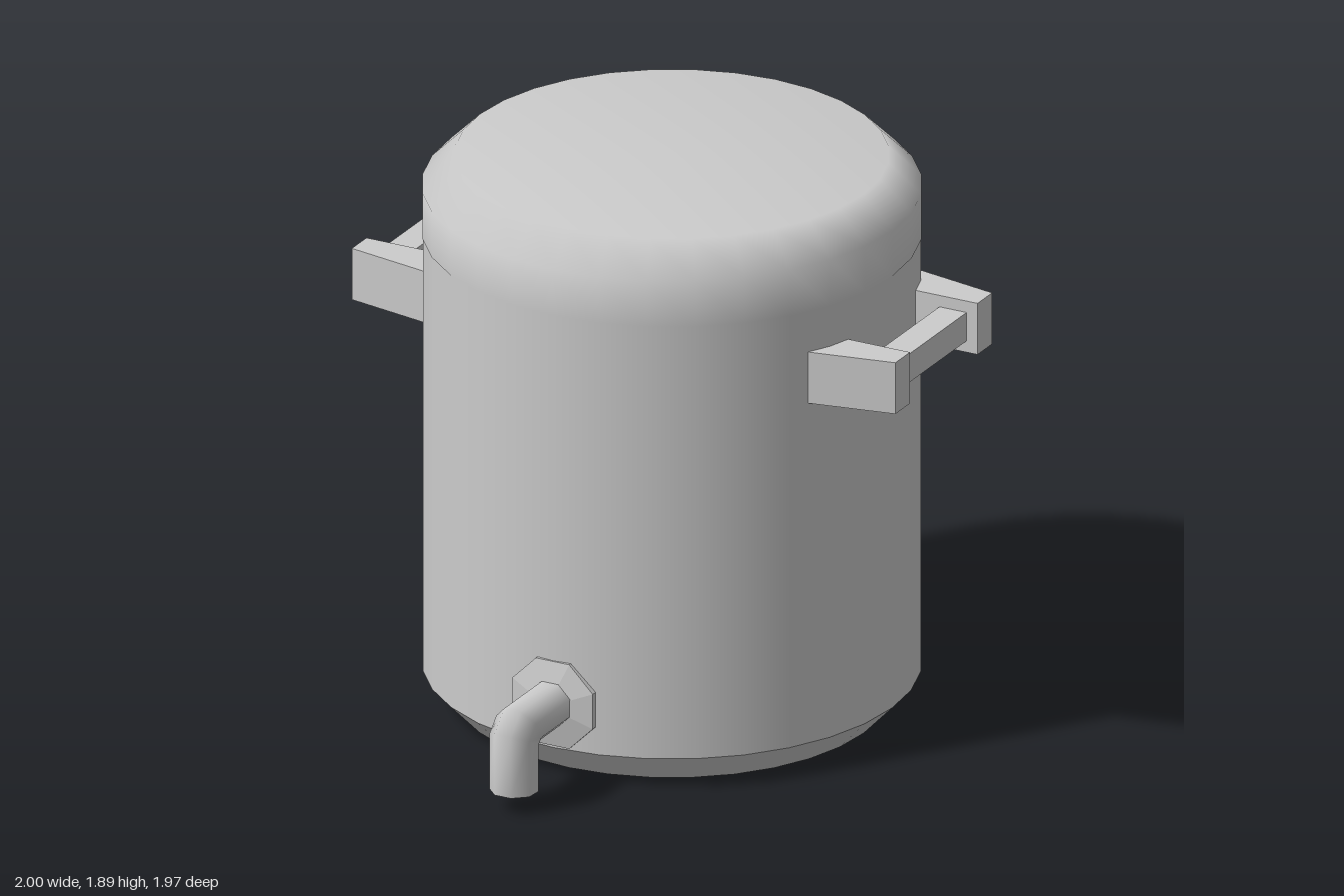
import * as THREE from 'three';

const AXIS_Z = -0.17; // centre of the tank
const RADIUS = 0.81;

const smooth = new THREE.MeshStandardMaterial({ color: 0xcccccc });
const flat = new THREE.MeshStandardMaterial({ color: 0xcccccc, flatShading: true });

function add(parent, name, geometry, material = smooth) {
  const mesh = new THREE.Mesh(geometry, material);
  mesh.name = name;
  parent.add(mesh);
  return mesh;
}

// Surface of revolution from [radius, height] pairs
const lathe = (points, sides, start = 0) =>
  new THREE.LatheGeometry(points.map(([r, y]) => new THREE.Vector2(r, y)), sides, start);

// Eight-sided bent pipe; each ring is [inner z, inner y, outer z, outer y]
function pipeGeometry(rings, halfWidth) {
  const sides = 8, positions = [], index = [];
  const grow = 1 / Math.cos(Math.PI / sides);
  const addRing = ([iz, iy, oz, oy]) => {
    for (let j = 0; j < sides; j++) {
      const a = ((j + 0.5) / sides) * Math.PI * 2;
      const t = 0.5 + 0.5 * Math.cos(a) * grow;
      positions.push(Math.sin(a) * halfWidth * grow, iy + (oy - iy) * t, iz + (oz - iz) * t);
    }
  };
  rings.forEach(addRing);
  for (let i = 0; i < rings.length - 1; i++) {
    for (let j = 0; j < sides; j++) {
      const a = i * sides + j, b = i * sides + ((j + 1) % sides);
      index.push(a, a + sides, b, b, a + sides, b + sides);
    }
  }
  // Outlet cap with its own vertices, so its rim stays sharp
  const cap = positions.length / 3;
  addRing(rings[rings.length - 1]);
  for (let j = 1; j < sides - 1; j++) index.push(cap, cap + j + 1, cap + j);
  const geometry = new THREE.BufferGeometry();
  geometry.setAttribute('position', new THREE.Float32BufferAttribute(positions, 3));
  geometry.setIndex(index);
  geometry.computeVertexNormals();
  return geometry;
}

// Tapered bracket, seen from above; side is +1 or -1 along x, end along z
function bracketGeometry(side, end) {
  const outline = [[0.66, 0.23], [1, 0.23], [1, 0.33], [0.66, 0.395]];
  const shape = new THREE.Shape(outline.map(([x, z]) => new THREE.Vector2(x * side, -z * end)));
  const geometry = new THREE.ExtrudeGeometry(shape, { depth: 0.18, bevelEnabled: false });
  return geometry.rotateX(-Math.PI / 2).translate(0, 1.305, 0);
}

export function createModel() {
  const model = new THREE.Group();
  model.name = 'tankWithTap';

  // Tank: base disc, chamfer, wall and soft-shaded lid
  const tank = new THREE.Group();
  tank.name = 'tank';
  tank.position.z = AXIS_Z;
  model.add(tank);
  add(tank, 'base', lathe([[0, 0], [0.705, 0]], 32));
  add(tank, 'baseChamfer', lathe([[0.705, 0], [RADIUS, 0.11]], 32));
  add(tank, 'wall', lathe([[RADIUS, 0.11], [RADIUS, 1.635]], 32));
  add(tank, 'lid', lathe([[RADIUS + 0.002, 1.63], [RADIUS + 0.002, 1.79], [0.705, 1.895], [0, 1.895]], 32));

  // Handles: two brackets and a square bar on each side
  for (const side of [1, -1]) {
    const handle = new THREE.Group();
    handle.name = side > 0 ? 'leftHandle' : 'rightHandle';
    tank.add(handle);
    for (const end of [1, -1]) {
      add(handle, end > 0 ? 'frontBracket' : 'backBracket', bracketGeometry(side, end), flat);
    }
    const bar = add(handle, 'handleBar', new THREE.BoxGeometry(0.1, 0.1, 0.47), flat);
    bar.position.set(0.91 * side, 1.395, 0);
  }

  // Tap: octagonal flange and bent spout
  const tap = new THREE.Group();
  tap.name = 'tap';
  model.add(tap);
  const flange = add(tap, 'flange',
    lathe([[0.16, 0.58], [0.16, 0.645], [0.075, 0.664], [0, 0.664]], 8, Math.PI / 8).rotateX(Math.PI / 2), flat);
  flange.position.y = 0.267;
  add(tap, 'spout', pipeGeometry([
    [0.6, 0.197, 0.6, 0.345],
    [0.83, 0.197, 0.92, 0.345],
    [0.83, 0.197, 0.985, 0.28],
    [0.83, 0.055, 0.985, 0.065],
  ], 0.073));

  return model;
}
